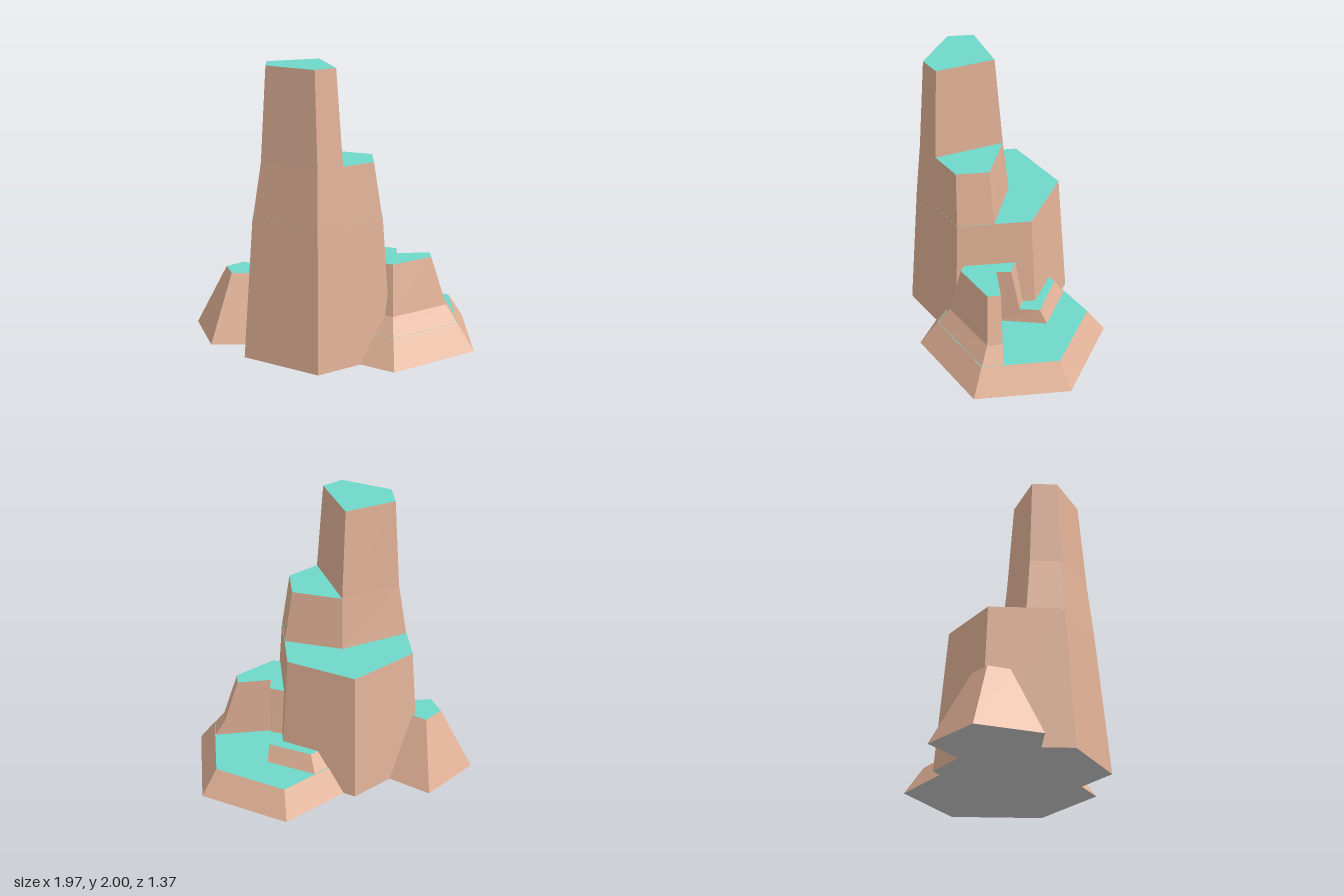
import * as THREE from 'three';

const rock = new THREE.MeshStandardMaterial({ color: 0xe2b297, flatShading: true });
const grass = new THREE.MeshStandardMaterial({ color: 0x6fd8ca, flatShading: true });
const under = new THREE.MeshStandardMaterial({ color: 0xcccccc, flatShading: true });

// Regular polygon outline as [x, z] pairs, first corner pointing back (-z).
function ngon(sides, cx, cz, r) {
  return Array.from({ length: sides }, (_, i) => {
    const a = (i / sides) * Math.PI * 2;
    return [cx + r * Math.sin(a), cz - r * Math.cos(a)];
  });
}

function mesh(name, positions, material) {
  const g = new THREE.BufferGeometry();
  g.setAttribute('position', new THREE.Float32BufferAttribute(positions, 3));
  g.computeVertexNormals();
  const m = new THREE.Mesh(g, material);
  m.name = name;
  return m;
}

// Flat lid over an outline, facing up or down.
function cap(ring, y, up) {
  const pts = ring.map(([x, z]) => new THREE.Vector2(x, -z));
  return THREE.ShapeUtils.triangulateShape(pts, []).flatMap((f) =>
    (up ? f : [f[0], f[2], f[1]]).flatMap((i) => [ring[i][0], y, ring[i][1]]));
}

// One tapered rock step: walls between two outlines, with a grassy top.
function step(name, y0, bottom, y1, top) {
  const group = new THREE.Group();
  group.name = name;
  const area = THREE.ShapeUtils.area(bottom.map(([x, z]) => ({ x, y: -z })));
  const lo = area < 0 ? [...bottom].reverse() : bottom;
  const hi = area < 0 ? [...top].reverse() : top;
  const walls = [];
  lo.forEach((a, i) => {
    const j = (i + 1) % lo.length;
    const [b, c, d] = [lo[j], hi[j], hi[i]];
    walls.push(a[0], y0, a[1], b[0], y0, b[1], c[0], y1, c[1]);
    walls.push(a[0], y0, a[1], c[0], y1, c[1], d[0], y1, d[1]);
  });
  group.add(mesh(name + 'Walls', walls, rock), mesh(name + 'Grass', cap(hi, y1, true), grass));
  if (y0 === 0) group.add(mesh(name + 'Underside', cap(lo, 0, false), under));
  return group;
}

export function createModel() {
  const model = new THREE.Group();
  model.name = 'steppedRock';

  // Tall central rock: hexagonal base, then two cut-back steps
  const tower = new THREE.Group();
  tower.name = 'tower';
  tower.add(
    step('towerBase', 0, ngon(6, -0.1, 0.1, 0.582), 0.98, ngon(6, -0.1, 0.1, 0.5)),
    step('towerMiddle',
      0.98, [[-0.53, 0.1], [-0.06, -0.04], [0.33, 0.1], [0.33, 0.35], [-0.1, 0.6], [-0.53, 0.35]],
      1.365, [[-0.47, 0.13], [-0.06, 0], [0.27, 0.125], [0.27, 0.345], [-0.1, 0.56], [-0.47, 0.345]]),
    step('towerPeak',
      1.365, [[-0.47, 0.13], [-0.06, 0], [0.065, 0.465], [-0.1, 0.56], [-0.47, 0.345]],
      2, [[-0.43, 0.155], [-0.085, 0.05], [0.02, 0.435], [-0.115, 0.51], [-0.43, 0.33]]),
  );

  // Wide low rock on the left, stepping up to the front
  const terrace = new THREE.Group();
  terrace.name = 'terrace';
  terrace.add(
    step('terraceBase', 0, ngon(6, 0.405, -0.02, 0.665), 0.185, ngon(6, 0.405, -0.02, 0.535)),
    step('terraceMiddle',
      0.185, [[0.865, 0.095], [0.865, 0.245], [0.405, 0.51], [-0.05, 0.245],
        [-0.05, -0.285], [0.18, -0.42], [0.5, -0.25], [0.43, 0.1]],
      0.305, [[0.79, 0.095], [0.79, 0.2], [0.405, 0.425], [0.02, 0.2],
        [0.02, -0.24], [0.2, -0.345], [0.485, -0.2], [0.435, 0.1]]),
    step('terracePeak',
      0.305, [[0.79, 0.095], [0.79, 0.2], [0.405, 0.425], [0.02, 0.2],
        [0.02, -0.24], [0.36, -0.1], [0.465, -0.06], [0.435, 0.1]],
      0.65, [[0.68, 0.095], [0.68, 0.185], [0.405, 0.34], [0.13, 0.18],
        [0.13, -0.13], [0.36, -0.04], [0.455, 0], [0.44, 0.1]]),
  );

  // Small five-sided rock on the right
  model.add(tower, terrace,
    step('smallRock', 0, ngon(5, -0.63, -0.13, 0.38), 0.465, ngon(5, -0.635, -0.12, 0.13)));
  return model;
}
